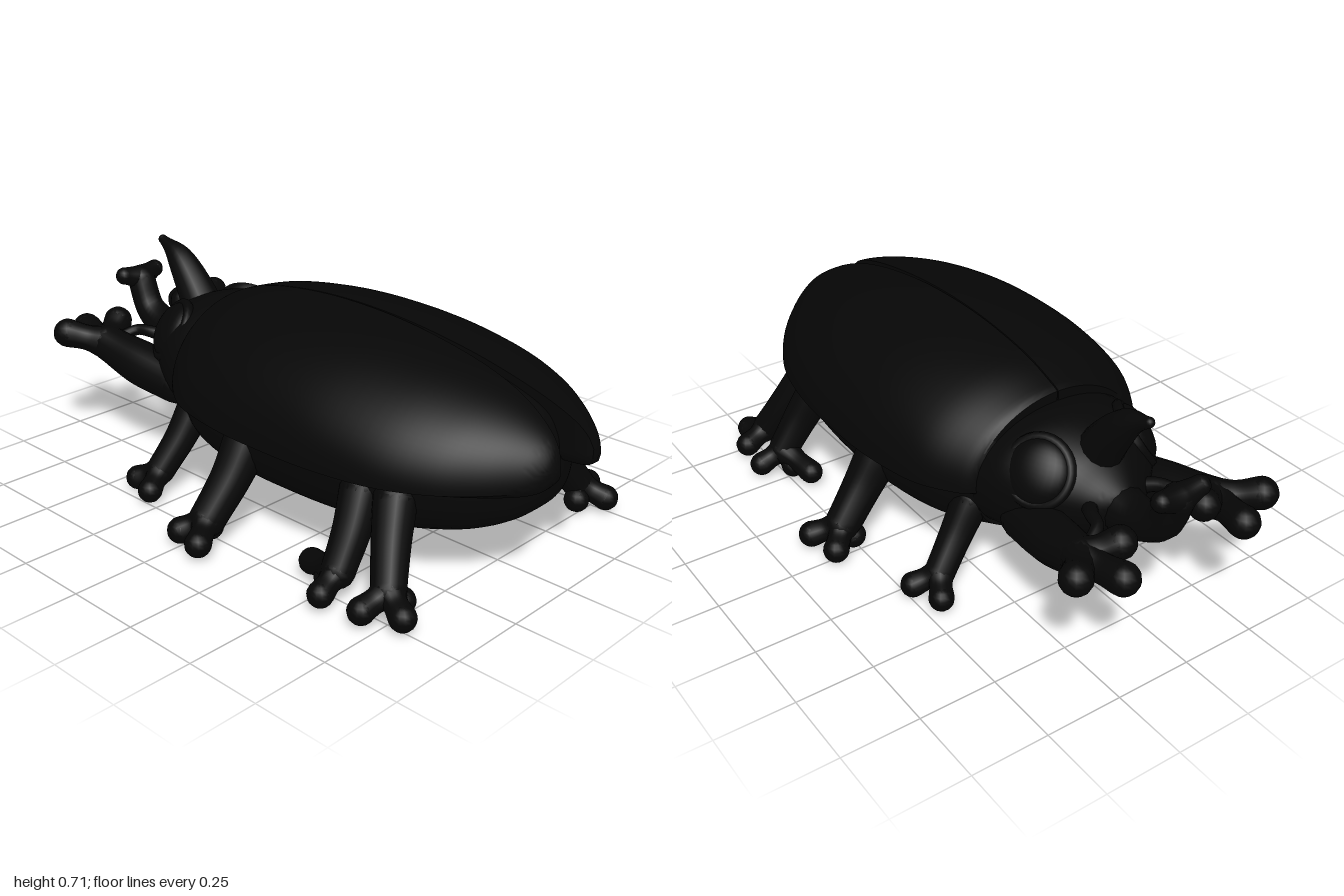
import * as THREE from 'three';
import { mergeGeometries, mergeVertices, toCreasedNormals } from 'three/addons/utils/BufferGeometryUtils.js';

const material = new THREE.MeshStandardMaterial({ color: 0x060606 });

function part(geometry, name) {
  const mesh = new THREE.Mesh(geometry, material);
  mesh.name = name;
  return mesh;
}

// Resample rows of station values along smooth curves
function resample(rows, count) {
  const columns = rows[0].map((_, c) =>
    new THREE.SplineCurve(rows.map((row, i) => new THREE.Vector2(i, row[c]))));
  return Array.from({ length: count + 1 }, (_, i) => columns.map(c => c.getPoint(i / count).y));
}

// Closed skin over rings that run counter-clockwise seen from +z, ordered by rising z
function loft(rings, crease) {
  const n = rings[0].length;
  const pos = rings.flat(2);
  const index = [];
  for (let i = 0; i < rings.length - 1; i++) {
    for (let j = 0; j < n; j++) {
      const a = i * n + j, b = i * n + (j + 1) % n;
      index.push(a, b, b + n, a, b + n, a + n);
    }
  }
  for (const end of [0, rings.length - 1]) {
    const centre = pos.length / 3;
    for (let k = 0; k < 3; k++) pos.push(rings[end].reduce((sum, p) => sum + p[k], 0) / n);
    for (let j = 0; j < n; j++) {
      const a = end * n + j, b = end * n + (j + 1) % n;
      if (end) index.push(centre, a, b);
      else index.push(centre, b, a);
    }
  }
  const g = new THREE.BufferGeometry();
  g.setAttribute('position', new THREE.Float32BufferAttribute(pos, 3));
  g.setIndex(index);
  return toCreasedNormals(g, crease);
}

// Round limb along a curve with varying radius and ball ends
function limb(points, radii) {
  const curve = new THREE.CatmullRomCurve3(points.map(p => new THREE.Vector3(...p)));
  const steps = 16, sides = 14;
  const radius = new THREE.SplineCurve(radii.map((r, i) => new THREE.Vector2(i, r)));
  const tube = new THREE.TubeGeometry(curve, steps, 1, sides);
  const p = tube.attributes.position, v = new THREE.Vector3();
  for (let i = 0; i < p.count; i++) {
    const t = Math.floor(i / (sides + 1)) / steps;
    const c = curve.getPointAt(t);
    v.fromBufferAttribute(p, i).sub(c).multiplyScalar(radius.getPoint(t).y).add(c);
    p.setXYZ(i, v.x, v.y, v.z);
  }
  tube.deleteAttribute('normal');
  tube.deleteAttribute('uv');
  const smooth = mergeVertices(tube, 1e-5);
  smooth.computeVertexNormals();
  const balls = [0, points.length - 1].map(i => {
    const ball = new THREE.SphereGeometry(radii[i ? radii.length - 1 : 0], 14, 10).translate(...points[i]);
    ball.deleteAttribute('uv');
    return ball;
  });
  return mergeGeometries([smooth, ...balls]);
}

// Leg with a fan of rounded toes that swell out of the ankle
function leg(s, name, hip, knee, ankle, radii, toes, toeRadius) {
  const side = p => [p[0] * s, p[1], p[2]];
  const group = new THREE.Group();
  group.name = name;
  group.add(part(limb([hip, knee, ankle].map(side), radii), 'shin'));
  for (const toe of toes) {
    group.add(part(limb([ankle, toe].map(side), [radii[2], toeRadius * 0.9, toeRadius]), 'toe'));
  }
  return group;
}

// Oval section with separate roundness for the upper and lower halves
function ovalRing([z, w, top, bottom], lowerPower) {
  const mid = (top + bottom) / 2;
  return Array.from({ length: 48 }, (_, j) => {
    const a = j / 48 * Math.PI * 2, c = Math.cos(a), s = Math.sin(a);
    const e = 2 / (s < 0 ? lowerPower : 2.1);
    return [
      Math.sign(c) * w * Math.abs(c) ** e,
      mid + Math.sign(s) * (top - bottom) * 0.5 * Math.abs(s) ** e, z];
  });
}

// One half of the domed wing case, inner lower corner rounded: [z, outer x, inner x, top, bottom]
function wingRing([z, w, g, top, bottom], s) {
  const ring = [];
  const corner = (top - bottom) * 0.3;
  for (let i = 0; i < 12; i++) {
    ring.push([s * (g + (w - g) * (i / 12) ** 1.4), bottom + corner * (1 - i / 12) ** 4, z]);
  }
  for (let i = 0; i <= 24; i++) {
    const a = i / 24 * Math.PI / 2;
    ring.push([s * (g + (w - g) * Math.cos(a)), bottom + 0.015 + (top - bottom - 0.015) * Math.sin(a), z]);
  }
  for (let i = 1; i < 6; i++) ring.push([s * g, top + (bottom + corner - top) * i / 6, z]);
  return s > 0 ? ring : ring.reverse();
}

export function createModel() {
  const model = new THREE.Group();

  // Abdomen, filling the wing cases up to their seam: [z, half width, top, bottom]
  const abdomen = resample([
    [-0.36, 0.29, 0.575, 0.16], [-0.2, 0.375, 0.632, 0.125], [0, 0.42, 0.657, 0.11], [0.2, 0.43, 0.66, 0.11],
    [0.4, 0.42, 0.646, 0.115], [0.6, 0.38, 0.612, 0.13], [0.76, 0.29, 0.565, 0.16], [0.86, 0.195, 0.515, 0.205],
    [0.9, 0.11, 0.455, 0.25], [0.912, 0.03, 0.4, 0.3]], 44);
  model.add(part(loft(abdomen.map(r => ovalRing(r, 3)), 1), 'abdomen'));

  // Head and collar
  const head = resample([
    [-0.71, 0.04, 0.42, 0.33], [-0.69, 0.08, 0.44, 0.3], [-0.65, 0.13, 0.475, 0.27], [-0.59, 0.195, 0.525, 0.235],
    [-0.51, 0.25, 0.56, 0.205], [-0.43, 0.285, 0.575, 0.175], [-0.35, 0.3, 0.565, 0.155]], 30);
  model.add(part(loft(head.map(r => ovalRing(r, 2.3)), 1), 'head'));

  // Wing cases parting towards the tail
  const wing = resample([
    [-0.365, 0.305, 0.002, 0.6, 0.335], [-0.33, 0.345, 0.002, 0.615, 0.333], [-0.2, 0.42, 0.002, 0.653, 0.33],
    [0, 0.462, 0.002, 0.677, 0.33], [0.2, 0.472, 0.003, 0.68, 0.33], [0.4, 0.465, 0.005, 0.665, 0.33],
    [0.6, 0.428, 0.01, 0.632, 0.33], [0.75, 0.362, 0.018, 0.593, 0.333], [0.86, 0.28, 0.034, 0.55, 0.338],
    [0.94, 0.202, 0.054, 0.503, 0.345], [0.98, 0.15, 0.068, 0.463, 0.357], [0.998, 0.108, 0.08, 0.42, 0.38]], 55);
  for (const s of [1, -1]) {
    const side = s > 0 ? 'left' : 'right';
    model.add(part(loft(wing.map(r => wingRing(r, s)), 0.7), side + 'WingCase'));

    // Eyes with a raised rim
    const eye = new THREE.Group();
    eye.name = side + 'Eye';
    eye.add(part(new THREE.SphereGeometry(0.1, 28, 18).scale(1, 1, 0.5), 'eyeball'));
    eye.add(part(new THREE.TorusGeometry(0.098, 0.018, 10, 32), 'eyeRim'));
    eye.position.set(s * 0.18, 0.465, -0.515);
    eye.lookAt(s * 0.98, 1.02, -0.93);
    model.add(eye);

    // Feelers
    model.add(part(limb([[s * 0.09, 0.38, -0.64], [s * 0.13, 0.4, -0.7], [s * 0.15, 0.4, -0.75], [s * 0.2, 0.38, -0.78]],
      [0.026, 0.02, 0.02]), side + 'Feeler'));

    // Forward-reaching arms
    model.add(leg(s, side + 'Arm', [0.2, 0.29, -0.48], [0.225, 0.325, -0.66], [0.248, 0.365, -0.8], [0.075, 0.078, 0.062],
      [[0.343, 0.4, -0.9], [0.222, 0.378, -0.952], [0.155, 0.41, -0.855]], 0.05));

    // Walking legs, front to back
    model.add(leg(s, side + 'FrontLeg', [0.27, 0.28, -0.3], [0.335, 0.18, -0.31], [0.41, 0.078, -0.33], [0.06, 0.052, 0.048],
      [[0.45, 0.042, -0.4], [0.485, 0.042, -0.295]], 0.04));
    model.add(leg(s, side + 'MiddleLeg', [0.37, 0.31, 0.06], [0.445, 0.2, 0.06], [0.535, 0.085, 0.048], [0.075, 0.064, 0.058],
      [[0.595, 0.045, -0.012], [0.622, 0.05, 0.1], [0.51, 0.042, 0.03]], 0.042));
    model.add(leg(s, side + 'InnerRearLeg', [0.36, 0.29, 0.52], [0.42, 0.19, 0.54], [0.488, 0.085, 0.55], [0.065, 0.058, 0.052],
      [[0.455, 0.05, 0.415], [0.57, 0.048, 0.56], [0.48, 0.04, 0.5]], 0.04));
    model.add(leg(s, side + 'OuterRearLeg', [0.34, 0.29, 0.63], [0.4, 0.19, 0.67], [0.465, 0.08, 0.72], [0.065, 0.058, 0.052],
      [[0.5, 0.045, 0.803], [0.555, 0.048, 0.7], [0.43, 0.042, 0.74]], 0.041));
  }

  // Pointed upper horn sweeping forward
  model.add(part(limb([[0, 0.47, -0.55], [0, 0.57, -0.615], [0, 0.655, -0.69], [0, 0.698, -0.77]],
    [0.075, 0.064, 0.047, 0.016]), 'upperHorn'));

  // Lower horn rising to a flared tip
  const lowerHorn = new THREE.Group();
  lowerHorn.name = 'lowerHorn';
  lowerHorn.add(part(limb([[0, 0.36, -0.64], [0, 0.37, -0.77], [0, 0.42, -0.86], [0, 0.52, -0.905]],
    [0.08, 0.066, 0.053, 0.05]), 'hornStem'));
  lowerHorn.add(part(limb([[-0.07, 0.545, -0.915], [0, 0.53, -0.91], [0.07, 0.545, -0.915]], [0.031, 0.042, 0.031]), 'hornTip'));
  model.add(lowerHorn);

  return model;
}
